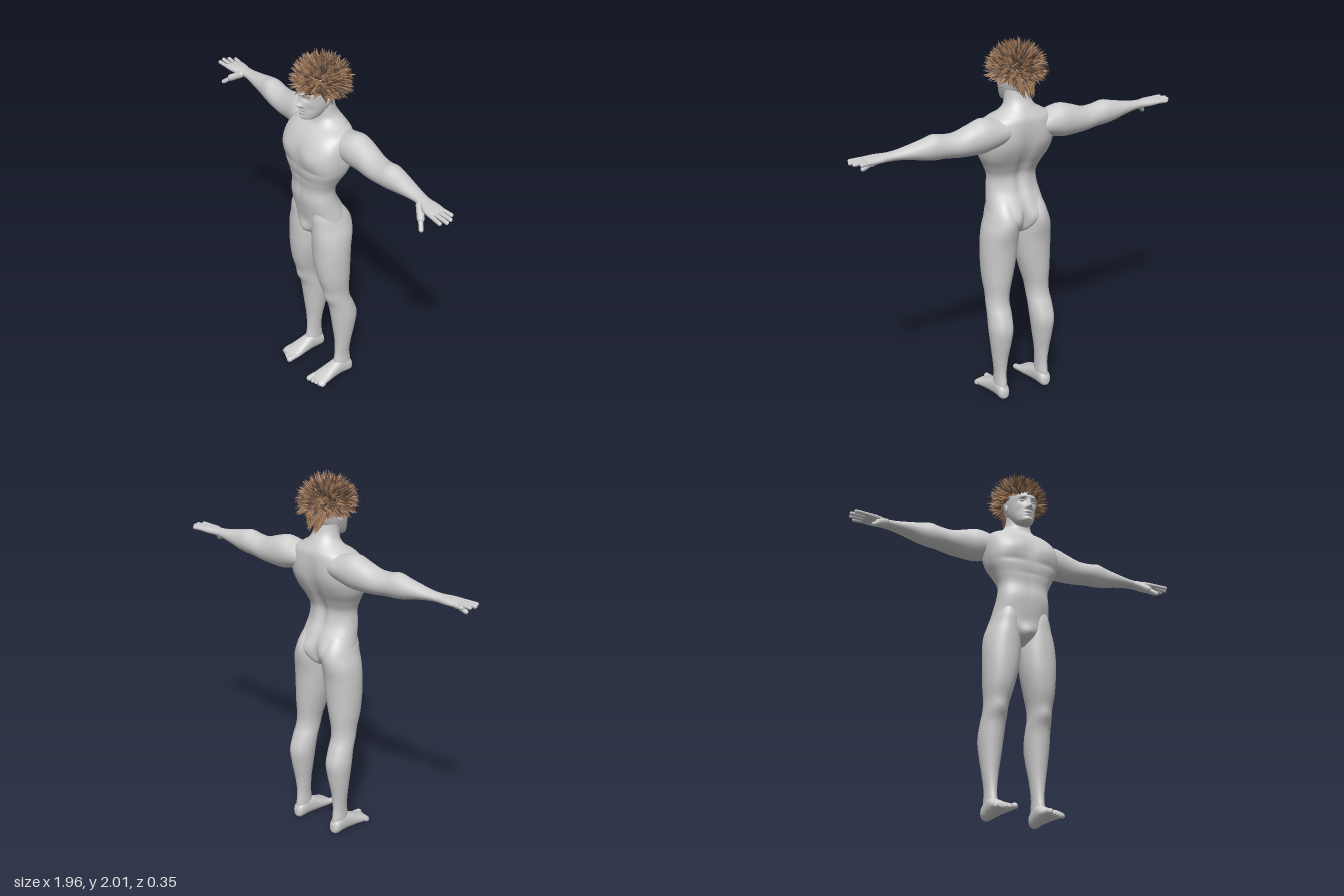
import * as THREE from 'three';
import { mergeGeometries } from 'three/addons/utils/BufferGeometryUtils.js';

const paint = (name, color) => {
  const m = new THREE.MeshStandardMaterial({ color });
  m.name = name;
  return m;
};

// Catmull-Rom blend of the section table at u in 0..1
function sectionAt(rows, u) {
  const f = u * (rows.length - 1), i = Math.min(Math.floor(f), rows.length - 2), t = f - i;
  const at = k => rows[Math.max(0, Math.min(rows.length - 1, k))];
  const [p, q, r, s] = [at(i - 1), at(i), at(i + 1), at(i + 2)];
  return q.map((v, k) => v + 0.5 * t * (r[k] - p[k]
    + t * (2 * p[k] - 5 * v + 4 * r[k] - s[k] + t * (3 * (v - r[k]) + s[k] - p[k]))));
}

// Smooth skin over rows of [t, aMin, aMax, bMin, bMax, exponent].
// Bumps [|x|, y, rx, ry, push, side] move the front (1) or back (-1) in z.
function loft(axis, rows, rings, sides, bumps = []) {
  const pos = [], index = [];
  const place = { x: (t, a, b) => [t, a, b], y: (t, a, b) => [a, t, b], z: (t, a, b) => [a, b, t] }[axis];
  for (let j = 0; j <= rings; j++) {
    const [t, a0, a1, b0, b1, e] = sectionAt(rows, j / rings);
    for (let i = 0; i < sides; i++) {
      const th = i / sides * Math.PI * 2, c = Math.cos(th), s = Math.sin(th);
      const a = (a0 + a1) / 2 + (a1 - a0) / 2 * Math.sign(c) * Math.abs(c) ** (2 / e);
      const b = (b0 + b1) / 2 + (b1 - b0) / 2 * Math.sign(s) * Math.abs(s) ** (2 / e);
      const p = place(t, a, b);
      let dz = 0;
      for (const [x, y, rx, ry, push, side] of bumps) {
        dz += side * push * Math.sqrt(Math.max(0, s * side))
          * Math.exp(-(((Math.abs(p[0]) - x) / rx) ** 2) - ((p[1] - y) / ry) ** 2);
      }
      pos.push(p[0], p[1], p[2] + dz);
    }
  }
  const quad = (a, b, c, d) => axis === 'y' ? index.push(a, c, b, b, c, d) : index.push(a, b, c, b, d, c);
  for (let j = 0; j < rings; j++) {
    for (let i = 0; i < sides; i++) {
      const k = (i + 1) % sides;
      quad(j * sides + i, j * sides + k, (j + 1) * sides + i, (j + 1) * sides + k);
    }
  }
  // end caps
  for (const j of [0, rings]) {
    const r = rows[j ? rows.length - 1 : 0], centre = pos.length / 3;
    pos.push(...place(r[0], (r[1] + r[2]) / 2, (r[3] + r[4]) / 2));
    for (let i = 0; i < sides; i++) {
      const a = j * sides + i, b = j * sides + (i + 1) % sides;
      if ((j === 0) === (axis === 'y')) index.push(centre, a, b);
      else index.push(centre, b, a);
    }
  }
  const g = new THREE.BufferGeometry();
  g.setAttribute('position', new THREE.Float32BufferAttribute(pos, 3));
  g.setIndex(index);
  g.computeVertexNormals();
  return g;
}

const UP = new THREE.Vector3(0, 1, 0);
const vec = p => new THREE.Vector3(...p);
const mirrored = rows => rows.map(([t, w, b0, b1, e]) => [t, -w, w, b0, b1, e]);

function add(parent, name, geometry, material) {
  const m = new THREE.Mesh(geometry, material);
  m.name = name;
  parent.add(m);
  return m;
}

function digit(parent, name, from, to, radius, material) {
  const a = vec(from), b = vec(to), d = b.clone().sub(a);
  const m = add(parent, name, new THREE.CapsuleGeometry(radius, d.length() - radius, 5, 12), material);
  m.position.copy(a).add(b).multiplyScalar(0.5);
  m.quaternion.setFromUnitVectors(UP, d.normalize());
}

function ball(parent, name, p, r, material) {
  const m = add(parent, name, new THREE.SphereGeometry(1, 20, 14), material);
  m.position.set(...p);
  m.scale.set(...r);
  return m;
}

function createLimbs(skin) {
  const side = new THREE.Group();
  add(side, 'leg', loft('y', [
    [0.02, 0.108, 0.165, -0.1, 0.0, 2], [0.08, 0.105, 0.167, -0.1, 0.01, 2],
    [0.15, 0.104, 0.167, -0.092, 0, 2], [0.24, 0.094, 0.179, -0.1, 0, 2],
    [0.33, 0.08, 0.191, -0.118, 0.01, 2], [0.42, 0.069, 0.2, -0.127, 0.022, 2],
    [0.5, 0.065, 0.198, -0.106, 0.035, 2], [0.56, 0.066, 0.193, -0.084, 0.055, 2.1],
    [0.62, 0.06, 0.192, -0.079, 0.07, 2.1], [0.7, 0.04, 0.2, -0.085, 0.095, 2.1],
    [0.8, 0.017, 0.205, -0.09, 0.11, 2.1], [0.9, 0.005, 0.205, -0.097, 0.115, 2.1],
    [0.98, 0.005, 0.196, -0.11, 0.117, 2.1], [1.04, 0.008, 0.178, -0.106, 0.116, 2.1],
    [1.1, 0.02, 0.16, -0.085, 0.116, 2.1], [1.18, 0.035, 0.13, -0.03, 0.1, 2],
  ], 72, 36, [[0.13, 0.575, 0.03, 0.035, 0.008, 1], [0.095, 0.43, 0.02, 0.07, 0.006, -1],
    [0.165, 0.44, 0.02, 0.07, 0.006, -1], [0.095, 1.045, 0.06, 0.055, 0.009, -1]]), skin);
  add(side, 'foot', loft('z', [
    [-0.108, 0.122, 0.15, 0.012, 0.05, 2], [-0.09, 0.105, 0.169, 0, 0.08, 2.3],
    [-0.03, 0.1, 0.171, 0, 0.105, 2.3], [0.03, 0.092, 0.179, 0, 0.083, 2.3],
    [0.08, 0.085, 0.188, 0, 0.058, 2.3], [0.12, 0.084, 0.195, 0, 0.042, 2.3],
    [0.142, 0.09, 0.188, 0.004, 0.028, 2],
  ], 30, 28), skin);
  for (let i = 0; i < 5; i++) {
    const r = i ? 0.0115 : 0.0165, x = i ? 0.104 + i * 0.0205 : 0.099;
    digit(side, 'toe', [x, r + 0.008, 0.11], [x, r, 0.162 - i * 0.008], r, skin);
  }

  add(side, 'arm', loft('x', [
    [0.05, 1.51, 1.57, -0.095, -0.02, 2], [0.11, 1.485, 1.6, -0.122, 0.02, 2],
    [0.17, 1.468, 1.618, -0.132, 0.034, 2], [0.24, 1.452, 1.633, -0.135, 0.03, 2],
    [0.31, 1.452, 1.615, -0.13, 0.021, 2], [0.39, 1.456, 1.588, -0.122, 0.02, 2],
    [0.46, 1.465, 1.588, -0.115, 0.018, 2], [0.52, 1.468, 1.6, -0.112, 0.012, 2],
    [0.58, 1.478, 1.588, -0.107, 0.002, 2], [0.66, 1.497, 1.57, -0.095, -0.005, 2],
    [0.73, 1.508, 1.558, -0.083, -0.012, 2], [0.78, 1.51, 1.553, -0.078, -0.008, 2.1],
    [0.83, 1.512, 1.55, -0.084, 0.01, 2.4], [0.88, 1.515, 1.546, -0.084, 0.016, 2.5],
    [0.9, 1.521, 1.541, -0.078, 0.01, 2.3],
  ], 75, 32), skin);
  // fingers as root z, tip x, tip z
  for (const [z, tx, tz] of [[-0.072, 0.938, -0.08], [-0.046, 0.965, -0.052], [-0.02, 0.974, -0.022], [0.005, 0.96, 0.01]]) {
    digit(side, 'finger', [0.87, 1.531, z], [tx, 1.53, tz], 0.0105, skin);
  }
  digit(side, 'thumbBase', [0.77, 1.53, -0.02], [0.838, 1.487, 0.024], 0.019, skin);
  digit(side, 'thumb', [0.815, 1.502, 0.01], [0.872, 1.455, 0.048], 0.012, skin);
  return side;
}

function createHead(skin, dark) {
  const head = new THREE.Group();
  head.name = 'head';
  add(head, 'face', loft('y', mirrored([
    [1.664, 0.022, 0.06, 0.105, 2], [1.674, 0.041, 0.025, 0.12, 2.1],
    [1.7, 0.057, -0.025, 0.125, 2.1], [1.74, 0.071, -0.065, 0.128, 2.1],
    [1.78, 0.078, -0.088, 0.13, 2.1], [1.82, 0.082, -0.097, 0.132, 2.1],
    [1.86, 0.081, -0.098, 0.122, 2.1], [1.9, 0.072, -0.085, 0.1, 2],
    [1.925, 0.045, -0.05, 0.065, 2], [1.936, 0.012, -0.01, 0.02, 2],
  ]), 110, 72, [
    [0, 1.755, 0.013, 0.013, 0.026, 1], [0, 1.782, 0.01, 0.022, 0.015, 1],
    [0.014, 1.75, 0.008, 0.008, 0.008, 1], [0.032, 1.795, 0.018, 0.013, -0.014, 1],
    [0.03, 1.818, 0.025, 0.008, 0.006, 1], [0, 1.724, 0.02, 0.006, 0.007, 1],
    [0, 1.709, 0.018, 0.006, 0.006, 1], [0, 1.716, 0.024, 0.003, -0.005, 1],
    [0, 1.682, 0.02, 0.011, 0.007, 1], [0.05, 1.735, 0.015, 0.02, -0.006, 1],
  ]), skin);
  for (const s of [-1, 1]) {
    ball(head, 'eye', [s * 0.032, 1.796, 0.108], [0.015, 0.008, 0.01], skin);
    const ear = ball(head, 'ear', [s * 0.081, 1.78, 0.012], [0.009, 0.031, 0.018], skin);
    ear.rotation.set(-0.2, s * 0.3, 0);
    const lash = new THREE.CatmullRomCurve3([[0.018, 1.8, 0.116], [0.032, 1.805, 0.117], [0.047, 1.799, 0.11]]
      .map(([x, y, z]) => new THREE.Vector3(s * x, y, z)));
    add(head, 'eyelash', new THREE.TubeGeometry(lash, 8, 0.0015, 5), dark);
  }
  return head;
}

function createHair(dark, brown) {
  const hair = new THREE.Group();
  hair.name = 'hair';
  let seed = 7;
  const rand = () => (seed = (seed * 16807) % 2147483647) / 2147483647;
  const centre = new THREE.Vector3(0, 1.845, 0), radii = new THREE.Vector3(0.112, 0.1, 0.122);
  const cap = add(hair, 'hairCap', new THREE.SphereGeometry(1, 32, 16, 0, Math.PI * 2, 0, 1.75), brown);
  cap.material.side = THREE.DoubleSide;
  cap.position.copy(centre);
  cap.scale.copy(radii);

  const tufts = { dark: [], brown: [] };
  const spike = (tuft, root, dir, length, radius) => {
    const g = new THREE.ConeGeometry(radius, length, 5, 1, true);
    g.translate(0, length / 2 - 0.008, 0).scale(1, 1, 0.5).rotateY(rand() * Math.PI);
    g.applyQuaternion(new THREE.Quaternion().setFromUnitVectors(UP, dir.normalize()));
    g.translate(root.x, root.y, root.z);
    tufts[tuft].push(g);
  };
  const jitter = k => new THREE.Vector3(rand() - 0.5, rand() - 0.5, rand() - 0.5).multiplyScalar(k);
  // spikes spread evenly over the crown
  const count = 720;
  for (let i = 0; i < count; i++) {
    const y = 1 - 1.4 * (i + 0.5) / count, r = Math.sqrt(1 - y * y), th = i * 2.39996;
    const d = new THREE.Vector3(r * Math.cos(th), y, r * Math.sin(th));
    if (y < (d.z > 0.45 ? -0.08 : -0.36)) continue;
    const length = 0.052 + 0.028 * rand() - 0.014 * Math.abs(d.z);
    spike(rand() < 0.4 ? 'dark' : 'brown', d.clone().multiply(radii).add(centre), d.add(jitter(0.6)), length, 0.0135);
  }
  // locks hanging over the nape
  for (let i = 0; i < 60; i++) {
    const k = rand(), x = (rand() - 0.5) * 0.13;
    spike('brown', new THREE.Vector3(x * (1 - 0.4 * k), 1.825 - 0.075 * k, -0.085 - 0.015 * k - 4 * x * x * (k - 1)),
      new THREE.Vector3(-x, -1, -0.45).add(jitter(0.25)), 0.06, 0.014);
  }
  add(hair, 'darkSpikes', mergeGeometries(tufts.dark), dark);
  add(hair, 'brownSpikes', mergeGeometries(tufts.brown), brown);
  return hair;
}

export function createModel() {
  const model = new THREE.Group();
  const skin = paint('grey skin', 0xcccccc), dark = paint('dark hair', 0x6b5443), brown = paint('brown hair', 0xa07858);

  // trunk and neck: y, half width, back, front, squareness
  add(model, 'torso', loft('y', mirrored([
    [0.945, 0.02, -0.03, 0.06, 2], [0.975, 0.07, -0.08, 0.095, 2], [1.02, 0.15, -0.102, 0.112, 2.2],
    [1.07, 0.165, -0.102, 0.118, 2.3], [1.13, 0.157, -0.08, 0.13, 2.3], [1.2, 0.147, -0.045, 0.14, 2.3],
    [1.27, 0.143, -0.036, 0.136, 2.3], [1.33, 0.165, -0.06, 0.144, 2.4], [1.39, 0.194, -0.092, 0.153, 2.6],
    [1.45, 0.206, -0.115, 0.157, 2.8], [1.51, 0.206, -0.126, 0.152, 2.8], [1.56, 0.198, -0.129, 0.132, 2.6],
    [1.6, 0.178, -0.126, 0.1, 2.3], [1.63, 0.13, -0.113, 0.065, 2], [1.66, 0.086, -0.095, 0.055, 2],
    [1.7, 0.07, -0.074, 0.058, 2], [1.76, 0.065, -0.062, 0.058, 2],
  ]), 110, 72, [
    [0.1, 1.475, 0.07, 0.045, 0.01, 1], [0, 1.48, 0.018, 0.06, -0.006, 1], [0.1, 1.405, 0.08, 0.015, -0.005, 1],
    [0, 1.28, 0.012, 0.1, -0.003, 1], [0, 1.335, 0.09, 0.012, -0.003, 1],
    [0, 1.0, 0.035, 0.035, 0.02, 1], [0.1, 1.1, 0.03, 0.04, -0.005, 1],
    [0.085, 1.045, 0.055, 0.055, 0.014, -1], [0, 1.03, 0.018, 0.07, -0.03, -1],
    [0, 1.35, 0.025, 0.17, -0.016, -1], [0.1, 1.48, 0.06, 0.07, 0.006, -1], [0.05, 1.22, 0.03, 0.08, 0.006, -1],
  ]), skin);

  const left = createLimbs(skin), right = left.clone();
  left.name = 'leftLimbs';
  right.name = 'rightLimbs';
  right.scale.x = -1;
  model.add(left, right, createHead(skin, dark), createHair(dark, brown));
  return model;
}
